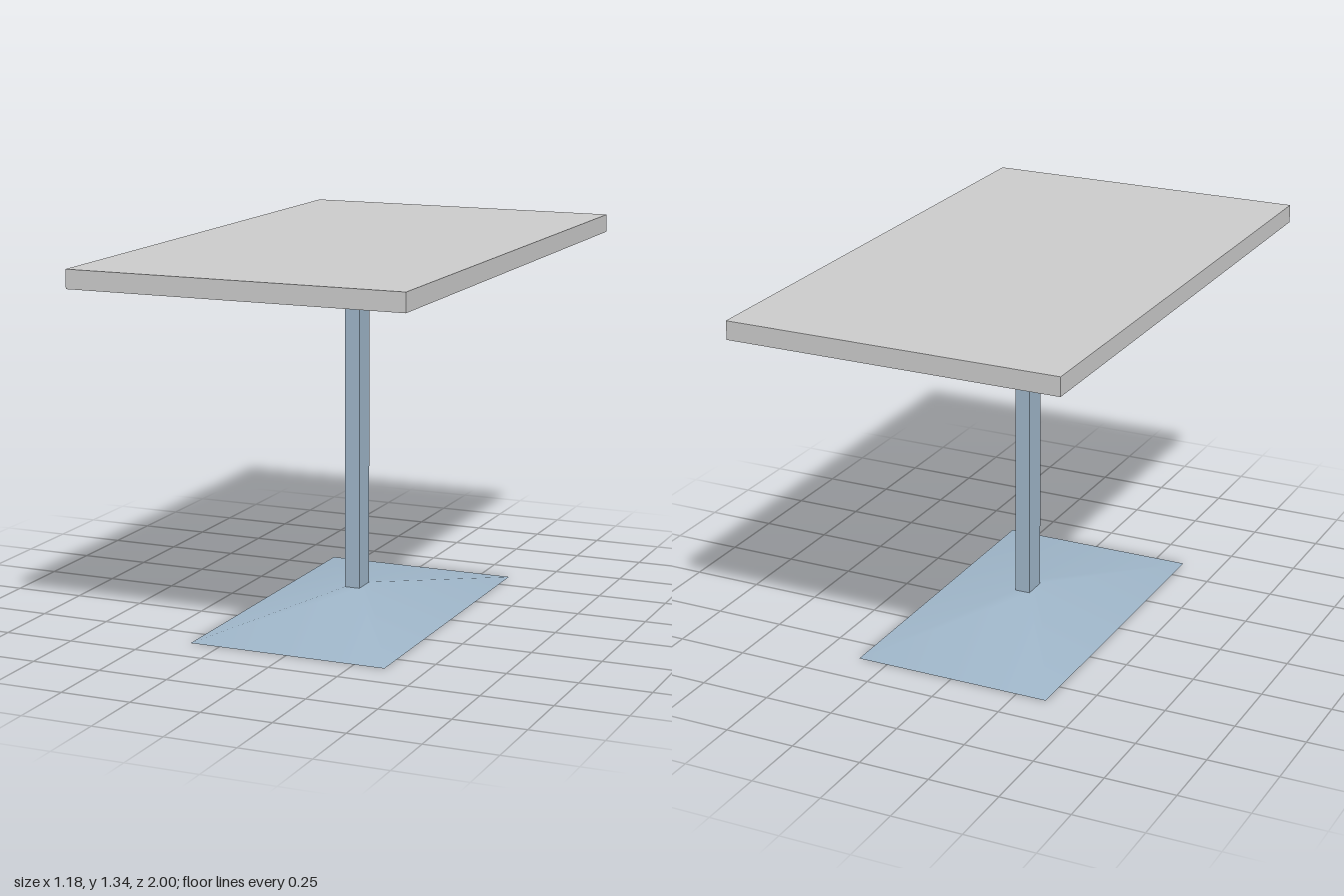
import * as THREE from 'three';
import { toCreasedNormals } from 'three/addons/utils/BufferGeometryUtils.js';

const TOP = { w: 1.18, d: 2, y0: 1.27, y1: 1.335 };
const POST = { w: 0.055, d: 0.09 };
const BASE = { w: 0.72, d: 1.22, h: 0.09 };

export function createModel() {
  const group = new THREE.Group();
  const grey = new THREE.MeshStandardMaterial({ color: 0xcccccc });
  const blue = new THREE.MeshStandardMaterial({ color: 0x9fb6c9 });

  // Adds a named part whose underside sits at height y
  const add = (name, geometry, material, height, y) => {
    const mesh = new THREE.Mesh(geometry, material);
    mesh.name = name;
    mesh.position.y = y + height / 2;
    group.add(mesh);
  };

  // Rectangular slab top
  const thickness = TOP.y1 - TOP.y0;
  add('tabletop', new THREE.BoxGeometry(TOP.w, thickness, TOP.d), grey, thickness, TOP.y0);

  // Single central post
  const postHeight = TOP.y0 - BASE.h;
  add('post', new THREE.BoxGeometry(POST.w, postHeight, POST.d), blue, postHeight, BASE.h);

  // Low pyramid foot: a box whose upper corners taper to the post's section
  const foot = new THREE.BoxGeometry(BASE.w, BASE.h, BASE.d);
  const p = foot.attributes.position;
  for (let i = 0; i < p.count; i++) {
    if (p.getY(i) > 0) {
      p.setX(i, Math.sign(p.getX(i)) * POST.w / 2);
      p.setZ(i, Math.sign(p.getZ(i)) * POST.d / 2);
    }
  }
  add('base', toCreasedNormals(foot, 0.5), blue, BASE.h, 0);

  return group;
}
